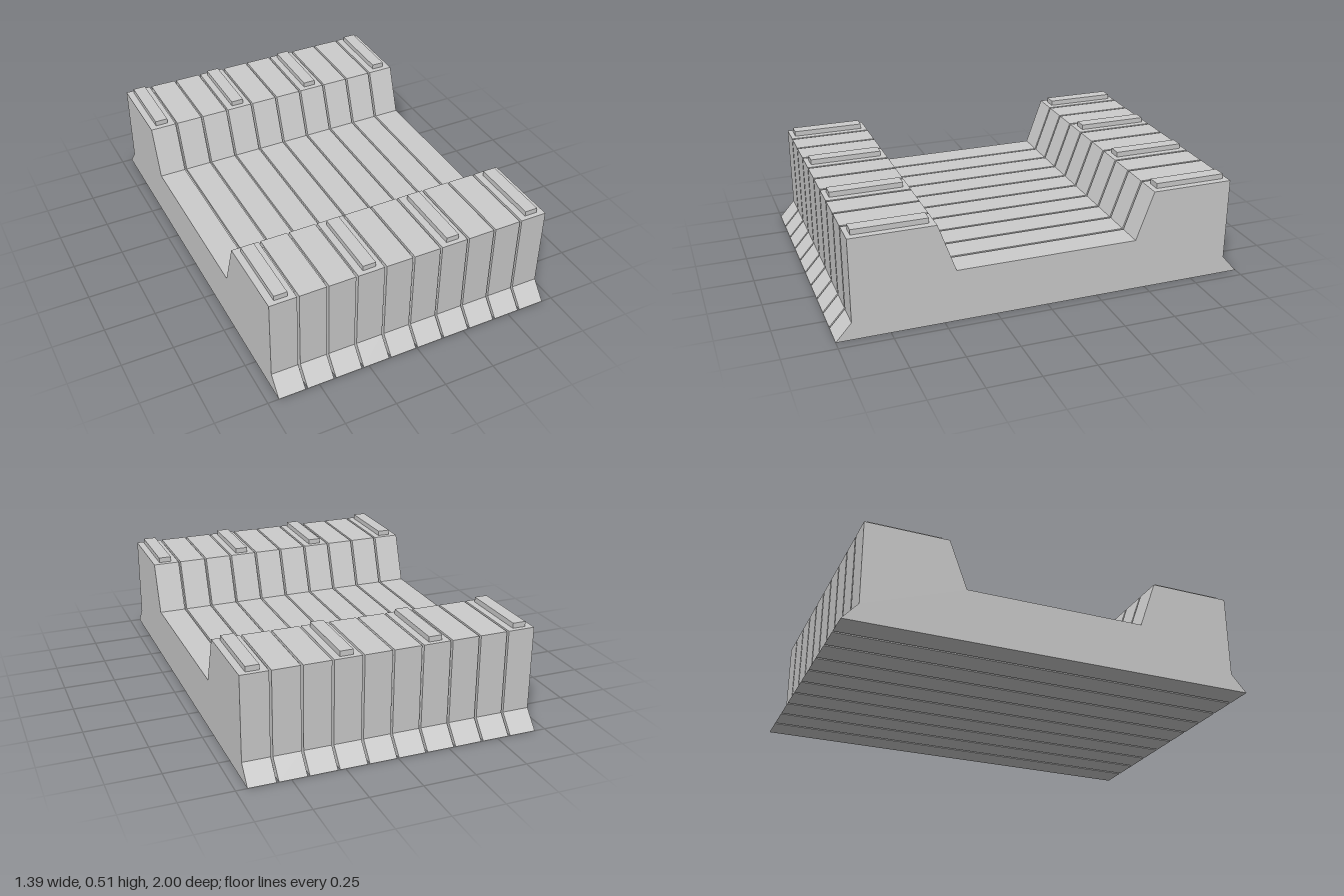
import * as THREE from 'three';

const material = new THREE.MeshStandardMaterial({ color: 0xcccccc, flatShading: true });

// Right half of a symmetric cross-section, mirrored and extruded along x
function crossSection(half, width) {
  const mirrored = half.map(([z, y]) => [-z, y]).reverse();
  const shape = new THREE.Shape([...half, ...mirrored].map(([z, y]) => new THREE.Vector2(z, y)));
  const geometry = new THREE.ExtrudeGeometry(shape, { depth: width, bevelEnabled: false });
  geometry.translate(0, 0, -width / 2);
  geometry.rotateY(Math.PI / 2);
  return geometry;
}

function addMesh(parent, geometry, name, x = 0, y = 0, z = 0) {
  const mesh = new THREE.Mesh(geometry, material);
  mesh.name = name;
  mesh.position.set(x, y, z);
  parent.add(mesh);
}

export function createModel() {
  const model = new THREE.Group();
  model.name = 'ribbedCradleBlock';

  const slabCount = 10, slabWidth = 0.13, pitch = 0.1405;
  const slabX = (i) => (i - (slabCount - 1) / 2) * pitch;

  // Slabs: flared foot, upright wall, raised end and sloped central channel
  const slab = crossSection(
    [[1, 0], [0.925, 0.085], [0.925, 0.49], [0.525, 0.49], [0.44, 0.255]], slabWidth);
  for (let i = 0; i < slabCount; i++) addMesh(model, slab, `slab${i + 1}`, slabX(i));

  // Slightly smaller core that shows in the grooves between slabs
  const core = crossSection(
    [[0.945, 0.01], [0.875, 0.092], [0.875, 0.477], [0.555, 0.477], [0.465, 0.242]],
    pitch * (slabCount - 1));
  addMesh(model, core, 'core');

  // Raised pads on every third slab, at both ends
  const pad = new THREE.BoxGeometry(0.063, 0.035, 0.35);
  for (const i of [0, 3, 6, 9]) {
    addMesh(model, pad, 'frontPad', slabX(i), 0.4975, 0.727);
    addMesh(model, pad, 'backPad', slabX(i), 0.4975, -0.727);
  }
  return model;
}
